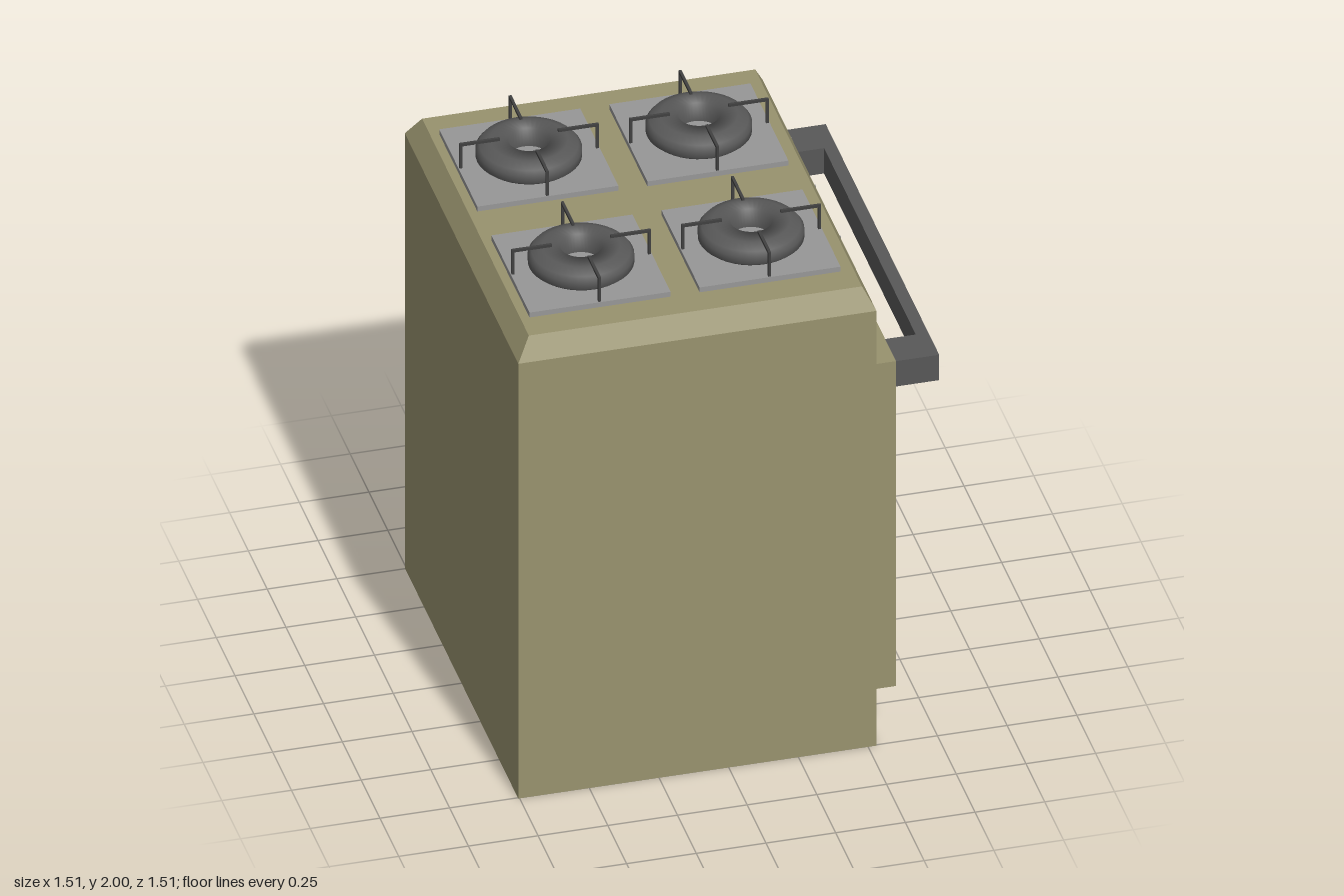
import * as THREE from 'three';

const mat = (color, side = THREE.FrontSide) => new THREE.MeshStandardMaterial({ color, side });
const enamel = mat(0x98926e), dark = mat(0x585858), iron = mat(0x404040);
const steel = mat(0x979797), glass = mat(0x7d8f97);

function add(parent, name, geometry, material, x = 0, y = 0, z = 0) {
  const mesh = new THREE.Mesh(geometry, material);
  mesh.name = name;
  mesh.position.set(x, y, z);
  parent.add(mesh);
  return mesh;
}

// Box given by its minimum and maximum corners
function block(parent, name, material, [x0, y0, z0], [x1, y1, z1]) {
  return add(parent, name, new THREE.BoxGeometry(x1 - x0, y1 - y0, z1 - z0), material,
    (x0 + x1) / 2, (y0 + y1) / 2, (z0 + z1) / 2);
}

// Cabinet: a box whose top ring is drawn in to make the bevel
function cabinetGeometry() {
  const box = new THREE.BoxGeometry(1.285, 1.88, 1.51, 1, 2, 1);
  const p = box.attributes.position;
  for (let i = 0; i < p.count; i++) {
    const y = p.getY(i);
    if (Math.abs(y) < 0.01) p.setY(i, 0.86);
    else if (y > 0) {
      const x = p.getX(i);
      p.setX(i, x > 0 ? x - 0.04 : x + 0.05);
      p.setZ(i, p.getZ(i) - Math.sign(p.getZ(i)) * 0.045);
    }
  }
  const flat = box.toNonIndexed();
  flat.computeVertexNormals();
  return flat;
}

// Oven door: a slab with a rectangular window opening
function doorGeometry() {
  const rect = (Type, x, y0, y1) => new Type([[-x, y0], [x, y0], [x, y1], [-x, y1]]
    .map(([a, b]) => new THREE.Vector2(a, b)));
  const shape = rect(THREE.Shape, 0.755, 0.235, 1.58);
  shape.holes.push(rect(THREE.Path, 0.613, 0.47, 1.345));
  return new THREE.ExtrudeGeometry(shape, { depth: 0.07, bevelEnabled: false }).rotateY(Math.PI / 2);
}

// Burner: plate, hollow ring and four bent grate bars
function burner(x, z) {
  const g = new THREE.Group();
  g.name = 'burner';
  g.position.set(x, 1.88, z);
  block(g, 'burnerPlate', steel, [-0.253, 0, -0.253], [0.253, 0.02, 0.253]);
  const profile = [[0.073, 0.02], [0.17, 0.02], [0.185, 0.033], [0.185, 0.062], [0.172, 0.078],
    [0.135, 0.095], [0.073, 0.095], [0.073, 0.02]].map(([r, y]) => new THREE.Vector2(r, y));
  add(g, 'burnerRing', new THREE.LatheGeometry(profile, 40), mat(0x585858, THREE.DoubleSide));
  for (let i = 0; i < 4; i++) {
    const bar = new THREE.Group();
    bar.name = 'grateBar';
    bar.rotation.y = i * Math.PI / 2;
    block(bar, 'grateArm', iron, [0.105, 0.11, -0.005], [0.25, 0.12, 0.005]);
    block(bar, 'gratePost', iron, [0.24, 0.02, -0.005], [0.25, 0.11, 0.005]);
    g.add(bar);
  }
  return g;
}

// Knob: stepped dial with a raised pointer
function knob(z, turn) {
  const g = new THREE.Group();
  g.name = 'knob';
  g.position.set(0.53, 1.7, z);
  g.rotation.x = turn;
  add(g, 'knobBase', new THREE.CylinderGeometry(0.05, 0.05, 0.015, 24).rotateZ(-Math.PI / 2), dark, 0.0075);
  add(g, 'knobFace', new THREE.CylinderGeometry(0.035, 0.05, 0.01, 24).rotateZ(-Math.PI / 2), dark, 0.02);
  block(g, 'knobPointer', steel, [0.015, -0.033, -0.005], [0.03, 0.033, 0.005]);
  return g;
}

export function createModel() {
  const model = new THREE.Group();
  model.name = 'stove';

  add(model, 'cabinet', cabinetGeometry(), enamel, -0.1125, 0.94, 0);
  add(model, 'ovenDoor', doorGeometry(), enamel, 0.53, 0, 0);
  block(model, 'ovenWindow', glass, [0.532, 0.47, -0.613], [0.58, 1.345, 0.613]);

  // Handle
  const handle = new THREE.Group();
  handle.name = 'handle';
  block(handle, 'handleBar', dark, [0.71, 1.475, -0.755], [0.755, 1.58, 0.755]);
  for (const s of [-1, 1]) {
    block(handle, 'handleBracket', dark,
      [0.6, 1.475, s > 0 ? 0.61 : -0.755], [0.71, 1.58, s > 0 ? 0.755 : -0.61]);
  }
  model.add(handle);

  // Cooktop
  for (const x of [-0.42, 0.19]) for (const z of [-0.347, 0.347]) model.add(burner(x, z));

  // Controls
  const turn = Math.PI / 4;
  for (const [z, a] of [[0.52, -turn], [0.167, 0], [-0.167, 0], [-0.51, turn]]) model.add(knob(z, a));

  return model;
}
